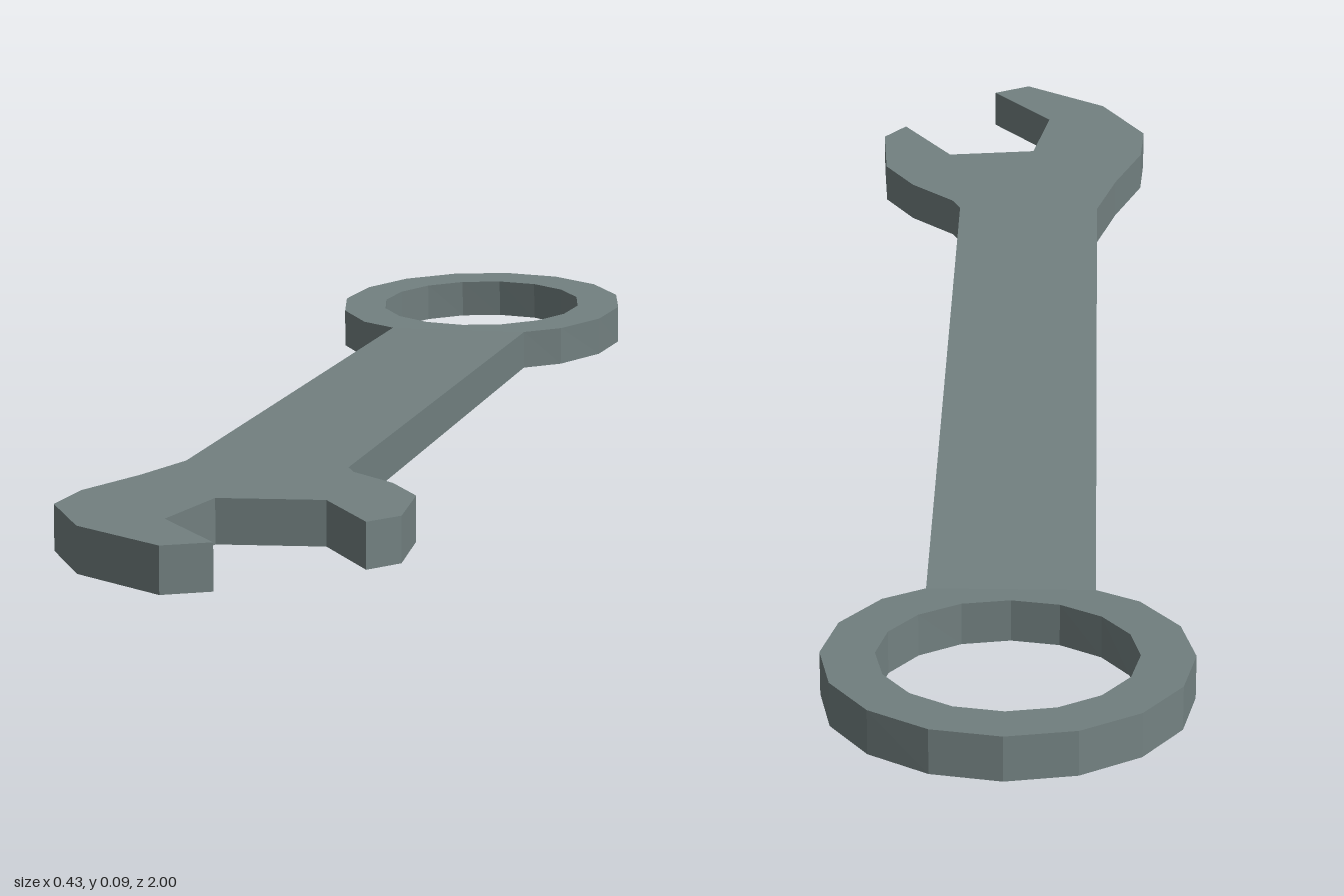
import * as THREE from 'three';

const THICKNESS = 0.053;
const NECK_Z = -0.61; // where the ring end bends upward
const RING = { x: -0.007, z: -0.79, outer: 0.21, inner: 0.148, sides: 16 };

// Plan point (x, z) to shape space, where shape y = -z
const plan = (x, z) => new THREE.Vector2(x, -z);

// Ring vertex k, counted from the handle side
function ringPoint(k, radius) {
  const a = (k / RING.sides) * Math.PI * 2;
  return plan(RING.x + radius * Math.sin(a), RING.z + radius * Math.cos(a));
}

// Lay an outline flat and give it thickness, standing on y = 0
function plate(shape) {
  const geometry = new THREE.ExtrudeGeometry(shape, { depth: THICKNESS, bevelEnabled: false });
  return geometry.rotateX(-Math.PI / 2);
}

export function createModel() {
  const group = new THREE.Group();
  group.name = 'wrench';
  const steel = new THREE.MeshStandardMaterial({ color: 0x728080, flatShading: true });
  steel.name = 'grey steel';

  // Straight handle with the open, angled jaw
  const outline = [
    [-0.105, NECK_Z], [-0.105, 0.515],
    [-0.132, 0.616], [-0.17, 0.722], [-0.175, 0.807], [-0.114, 0.918], [0.002, 1.0],
    [0.053, 0.971], [-0.032, 0.86], [-0.01, 0.733], [0.114, 0.717], [0.185, 0.828],
    [0.215, 0.786], [0.206, 0.669], [0.164, 0.6], [0.104, 0.542],
    [0.092, 0.515], [0.092, NECK_Z],
  ];
  const handle = new THREE.Mesh(plate(new THREE.Shape(outline.map(([x, z]) => plan(x, z)))), steel);
  handle.name = 'handleAndJaw';
  group.add(handle);

  // Closed ring, cut flat where it meets the handle
  const rim = [plan(0.092, NECK_Z)];
  for (let k = 2; k <= RING.sides - 2; k++) rim.push(ringPoint(k, RING.outer));
  rim.push(plan(-0.105, NECK_Z));
  const ringShape = new THREE.Shape(rim);
  const hole = [];
  for (let k = 0; k < RING.sides; k++) hole.push(ringPoint(-k, RING.inner));
  ringShape.holes.push(new THREE.Path(hole));
  const ringGeometry = plate(ringShape);

  // Tilt the ring upward from the neck
  const p = ringGeometry.attributes.position;
  for (let i = 0; i < p.count; i++) {
    const reach = NECK_Z - p.getZ(i);
    if (p.getY(i) > THICKNESS / 2) p.setZ(i, p.getZ(i) + reach * 0.012);
    p.setY(i, p.getY(i) + reach * 0.092);
  }
  ringGeometry.computeVertexNormals();
  const ring = new THREE.Mesh(ringGeometry, steel);
  ring.name = 'ringEnd';
  group.add(ring);

  return group;
}
